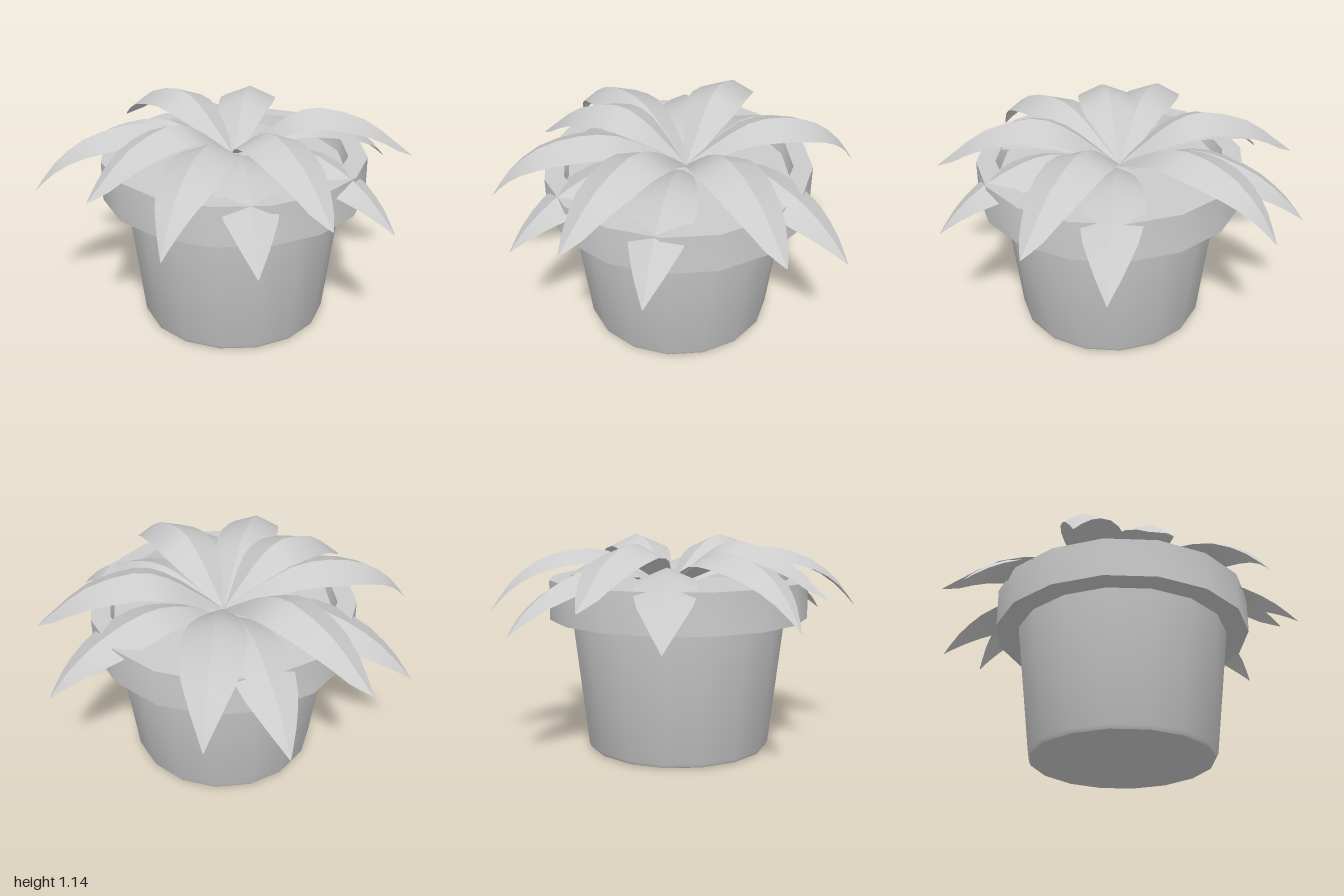
import * as THREE from 'three';
import { toCreasedNormals } from 'three/addons/utils/BufferGeometryUtils.js';

const material = new THREE.MeshStandardMaterial({ color: 0xcccccc });
const leafMaterial = new THREE.MeshStandardMaterial({ color: 0xcccccc, side: THREE.DoubleSide });

// Ridge lines: [fraction of the reach, height]; the last height is the tip
const RIDGES = {
  upper: [[0.02, 0.9], [0.15, 1.0], [0.3, 1.1], [0.47, 1.14], [0.72, 1.07], [0.9, 0.94], [1, 0.86]],
  middle: [[0.02, 0.9], [0.15, 0.98], [0.35, 1.08], [0.55, 1.09], [0.75, 1.03], [0.9, 0.91], [1, 0.77]],
  lower: [[0.06, 0.88], [0.2, 0.97], [0.38, 1.02], [0.55, 1.0], [0.75, 0.92], [0.9, 0.81], [1, 0.7]],
};

// Leaf tips seen from above: [x, z, tier], going round the plant
const LEAVES = [
  [0.02, -0.99, 'middle'], [-0.37, -0.93, 'lower'], [-0.74, -0.64, 'upper'],
  [-0.96, -0.3, 'lower'], [-0.97, 0.34, 'middle'], [-0.6, 0.63, 'upper'],
  [-0.16, 0.98, 'middle'], [0.27, 0.95, 'lower'], [0.58, 0.75, 'upper'],
  [0.87, 0.43, 'lower'], [0.96, -0.22, 'upper'], [0.82, -0.6, 'lower'],
];

// Half width along a leaf: narrow base, full middle, pointed tip
const widthCurve = new THREE.SplineCurve(
  [[0, 0.025], [0.2, 0.09], [0.42, 0.152], [0.58, 0.145], [0.8, 0.075], [1, 0.002]]
    .map(([t, w]) => new THREE.Vector2(t, w)));

// Lathed pot parts keep sharp rims but smooth round sides
function lathe(name, profile) {
  const points = profile.map(([r, y]) => new THREE.Vector2(r, y));
  const mesh = new THREE.Mesh(toCreasedNormals(new THREE.LatheGeometry(points, 16), 0.55), material);
  mesh.name = name;
  mesh.position.set(0.02, 0, 0.02);
  return mesh;
}

// A leaf is two curved strips that meet in a crease along the ridge
function leafGeometry(tipX, tipZ, tier) {
  const base = new THREE.Vector3(0.01, 0, -0.03);
  const reach = new THREE.Vector3(tipX, 0, tipZ).sub(base);
  const side = new THREE.Vector3(0, 1, 0).cross(reach).normalize();
  const ridge = new THREE.SplineCurve(RIDGES[tier].map(([t, y]) => new THREE.Vector2(t, y)));
  const segments = 12, positions = [], index = [];
  for (const sign of [1, -1]) {
    const start = positions.length / 3;
    for (let i = 0; i <= segments; i++) {
      const p = ridge.getPoint(i / segments);
      const w = widthCurve.getPoint(i / segments).y;
      const centre = base.clone().addScaledVector(reach, p.x).setY(p.y);
      const edge = centre.clone().addScaledVector(side, sign * w);
      edge.y -= w * 0.42;
      positions.push(...centre.toArray(), ...edge.toArray());
      if (i === segments) continue;
      const a = start + i * 2, b = a + 1, c = a + 2, d = a + 3;
      if (sign > 0) index.push(a, c, b, b, c, d);
      else index.push(a, b, c, b, d, c);
    }
  }
  const geometry = new THREE.BufferGeometry();
  geometry.setAttribute('position', new THREE.Float32BufferAttribute(positions, 3));
  geometry.setIndex(index);
  geometry.computeVertexNormals();
  return geometry;
}

export function createModel() {
  const model = new THREE.Group();
  model.name = 'pottedPlant';

  // Tapered pot, thick rim and soil
  model.add(
    lathe('potBody', [[0, 0], [0.475, 0], [0.49, 0.006], [0.5, 0.025], [0.58, 0.72]]),
    lathe('potRim', [[0.57, 0.72], [0.7, 0.72], [0.7, 0.93], [0.6, 0.93], [0.58, 0.86]]),
    lathe('soil', [[0.59, 0.87], [0, 0.87]]),
  );

  // Rosette of arching leaves
  const rosette = new THREE.Group();
  rosette.name = 'rosette';
  for (const [x, z, tier] of LEAVES) {
    const leaf = new THREE.Mesh(leafGeometry(x, z, tier), leafMaterial);
    leaf.name = tier + 'Leaf';
    rosette.add(leaf);
  }
  model.add(rosette);
  return model;
}
